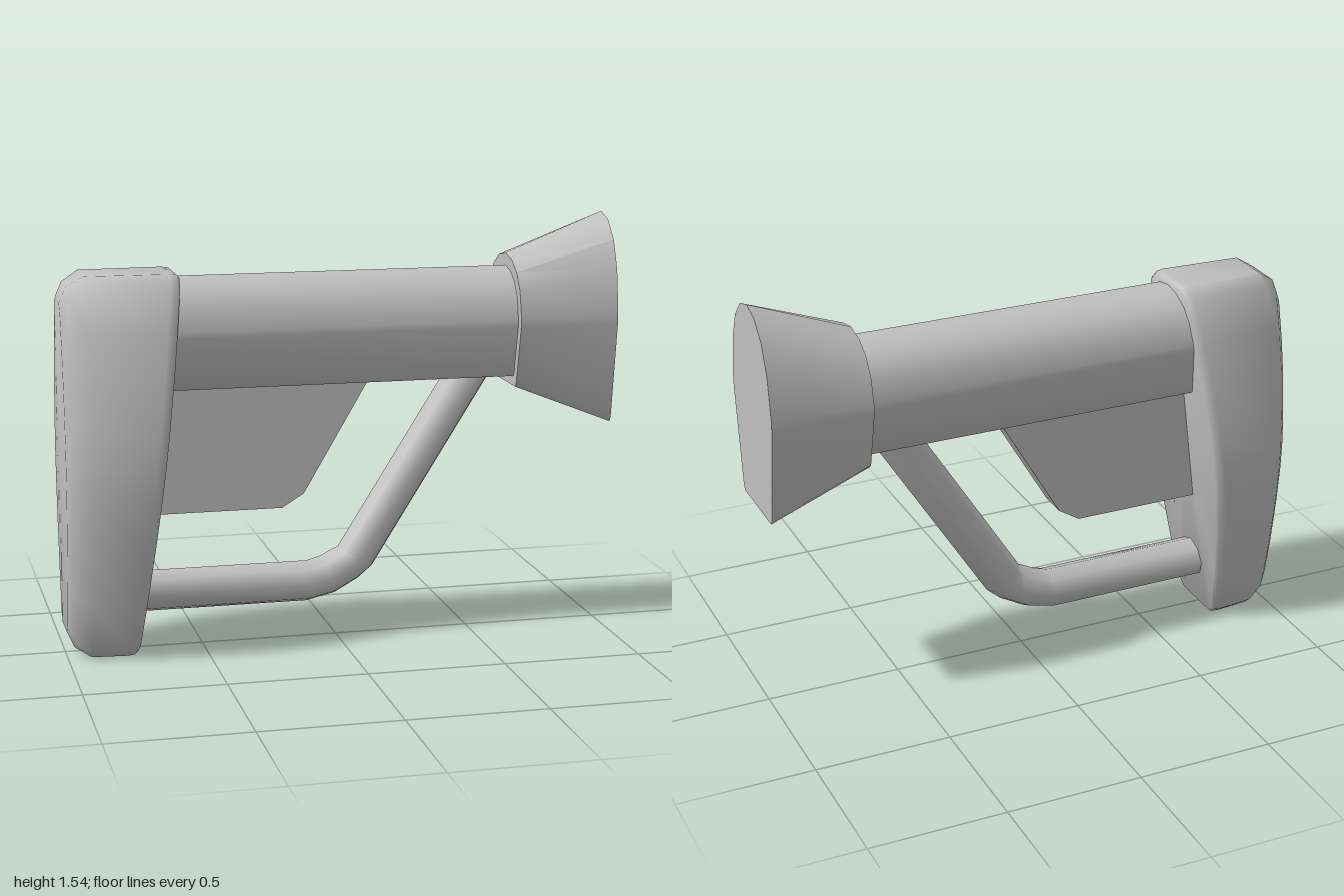
import * as THREE from 'three';
import { toCreasedNormals } from 'three/addons/utils/BufferGeometryUtils.js';

// Skin closed rings of equal length, running towards +x, and cap both ends.
function loft(rings, crease) {
  const n = rings[0].length, pos = [], index = [];
  rings.forEach(r => r.forEach(p => pos.push(p.x, p.y, p.z)));
  for (let i = 0; i < rings.length - 1; i++) {
    for (let j = 0; j < n; j++) {
      const k = (j + 1) % n, a = i * n + j, b = i * n + k;
      index.push(a, a + n, b, b, a + n, b + n);
    }
  }
  [0, rings.length - 1].forEach(i => {
    const c = new THREE.Vector3();
    rings[i].forEach(p => c.addScaledVector(p, 1 / n));
    const ci = pos.length / 3;
    pos.push(c.x, c.y, c.z);
    for (let j = 0; j < n; j++) {
      const a = i * n + j, b = i * n + (j + 1) % n;
      if (i === 0) index.push(ci, a, b); else index.push(ci, b, a);
    }
  });
  const g = new THREE.BufferGeometry();
  g.setAttribute('position', new THREE.Float32BufferAttribute(pos, 3));
  g.setIndex(index);
  return toCreasedNormals(g, crease);
}

// Mirror a half outline of [z, y] points, listed from bottom to top.
function mirrored(half) {
  const other = half.filter(p => p[0] > 0).reverse().map(([z, y]) => [-z, y]);
  return [...half, ...other];
}

// Arched section: rounded top, sides narrowing to a flat bottom (unit size).
const arch = mirrored([[0.69, 0], [0.75, 0.025], [1, 0.49], [1, 0.55], [0.89, 0.75],
  [0.68, 0.885], [0.37, 0.97], [0, 1]]);
const archRing = (x, y0, y1, w) =>
  arch.map(([z, y]) => new THREE.Vector3(x, y0 + y * (y1 - y0), z * w));

// Long oval outline of the pad.
const oval = mirrored([[0.1, 0.008], [0.142, 0.04], [0.19, 0.21], [0.235, 0.42], [0.262, 0.6],
  [0.268, 0.72], [0.262, 0.84], [0.235, 1.03], [0.195, 1.19], [0.142, 1.345], [0.1, 1.38]]);
const ovalRing = (x, slant, sy, sz) => oval.map(([z, y]) => {
  const yy = 0.695 + (y - 0.695) * sy;
  return new THREE.Vector3(x + slant * (yy - 0.695), yy, z * sz);
});

export function createModel() {
  const group = new THREE.Group();
  const grey = new THREE.MeshStandardMaterial({ color: 0xc0c0c0 });
  grey.name = 'light grey';
  const add = (name, geometry) => {
    const mesh = new THREE.Mesh(geometry, grey);
    mesh.name = name;
    group.add(mesh);
  };

  // Pad with a bevelled back and a slanted front face
  add('backPad', loft([
    ovalRing(-1, 0, 0.865, 0.62),
    ovalRing(-0.975, 0, 0.945, 0.74),
    ovalRing(-0.915, 0, 1, 0.885),
    ovalRing(-0.7, 0.125, 1, 1),
    ovalRing(-0.675, 0.125, 0.995, 0.985),
    ovalRing(-0.665, 0.125, 0.98, 0.95),
  ], 0.9));

  // Straight arched barrel
  add('barrel', loft([archRing(-0.8, 0.97, 1.36, 0.17), archRing(0.66, 0.97, 1.36, 0.17)], 0.6));

  // Flared end, widening only in height
  add('flaredEnd', loft([archRing(0.635, 0.935, 1.405, 0.205), archRing(1, 0.79, 1.548, 0.205)], 0.6));

  // Flat fin under the barrel
  const fin = new THREE.Shape([[-0.8, 0.51], [-0.21, 0.51], [-0.13, 0.56], [0.14, 1.02], [-0.8, 1.02]]
    .map(p => new THREE.Vector2(...p)));
  const finGeometry = new THREE.ExtrudeGeometry(fin, { depth: 0.11, bevelEnabled: false });
  finGeometry.translate(0, 0, -0.055);
  add('fin', finGeometry);

  // Bent brace bar, eight-sided, with a rounded elbow
  const path = [[-0.82, 0.217, 0], [-0.11, 0.217, 0], [-0.03, 0.237, 20], [0.035, 0.273, 40],
    [0.073, 0.3, 59], [0.55, 1.06, 59]];
  add('braceBar', loft(path.map(([x, y, deg]) => {
    const t = THREE.MathUtils.degToRad(deg);
    return Array.from({ length: 8 }, (_, j) => {
      const a = j * Math.PI / 4, s = 0.076 * Math.sin(a);
      return new THREE.Vector3(x - s * Math.sin(t), y + s * Math.cos(t), 0.076 * Math.cos(a));
    });
  }), 0.9));

  return group;
}
